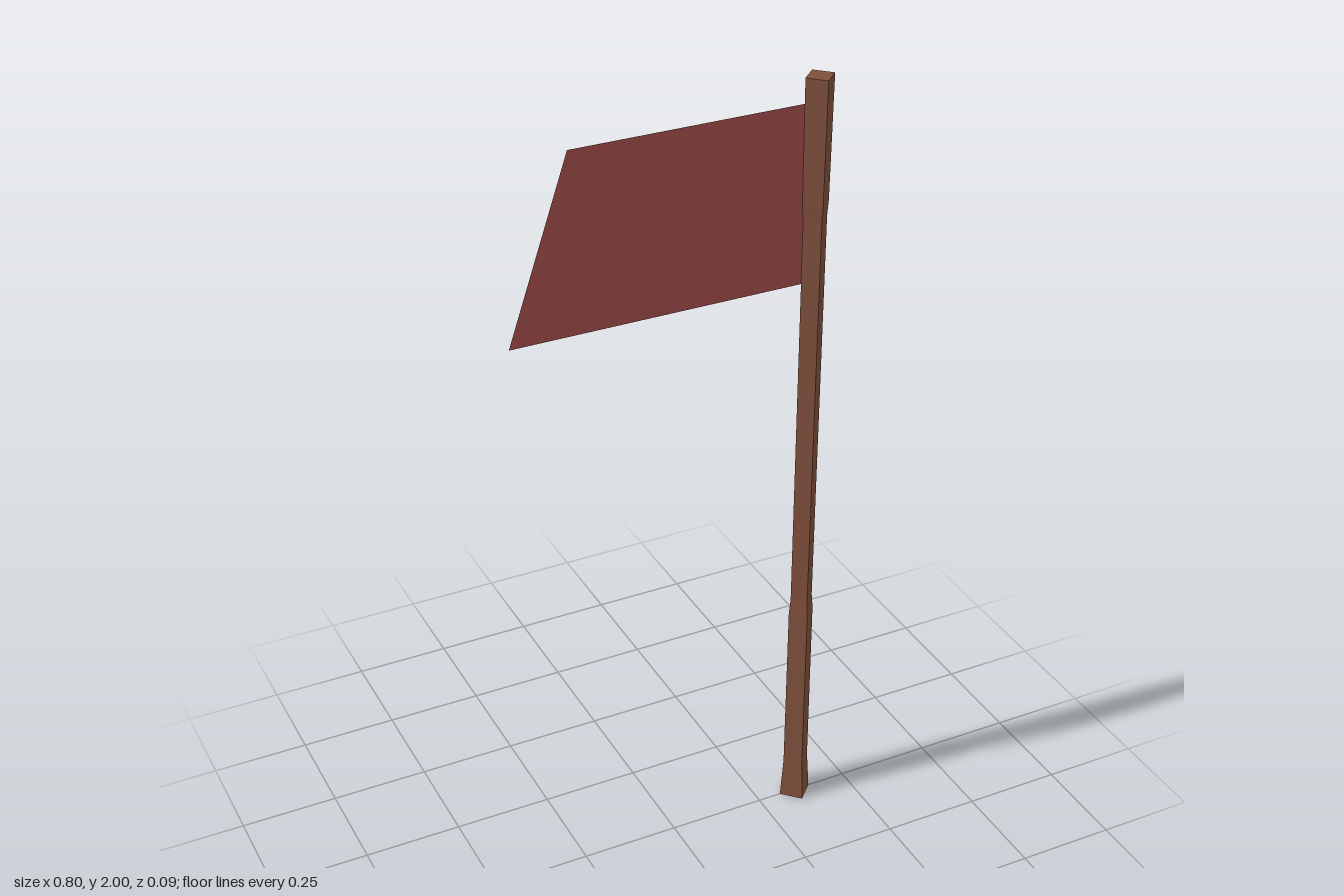
import * as THREE from 'three';

export function createModel() {
  const model = new THREE.Group();
  const wood = new THREE.MeshStandardMaterial({ name: 'brown wood', color: 0x80503c, flatShading: true });
  const cloth = new THREE.MeshStandardMaterial({ name: 'red cloth', color: 0xa64e4e, side: THREE.DoubleSide });
  const poleX = 0.354;

  // Four-sided pole, flared at the foot and the top: [radius, height]
  const profile = [
    [0, 0], [0.043, 0], [0.035, 0.11], [0.034, 0.58],
    [0.03, 0.62], [0.031, 1.66], [0.034, 1.7], [0.037, 2], [0, 2],
  ].map(([r, y]) => new THREE.Vector2(r, y));
  const pole = new THREE.Mesh(new THREE.LatheGeometry(profile, 4), wood);
  pole.name = 'pole';
  pole.position.x = poleX;
  model.add(pole);

  // Flat flag with a slanted free edge, its inner edge set into the pole
  const outline = new THREE.Shape([
    [-0.4, 1.5], [poleX, 1.5], [poleX, 1.94], [-0.25, 1.94],
  ].map(([x, y]) => new THREE.Vector2(x, y)));
  const flag = new THREE.Mesh(new THREE.ShapeGeometry(outline), cloth);
  flag.name = 'flag';
  model.add(flag);

  return model;
}
